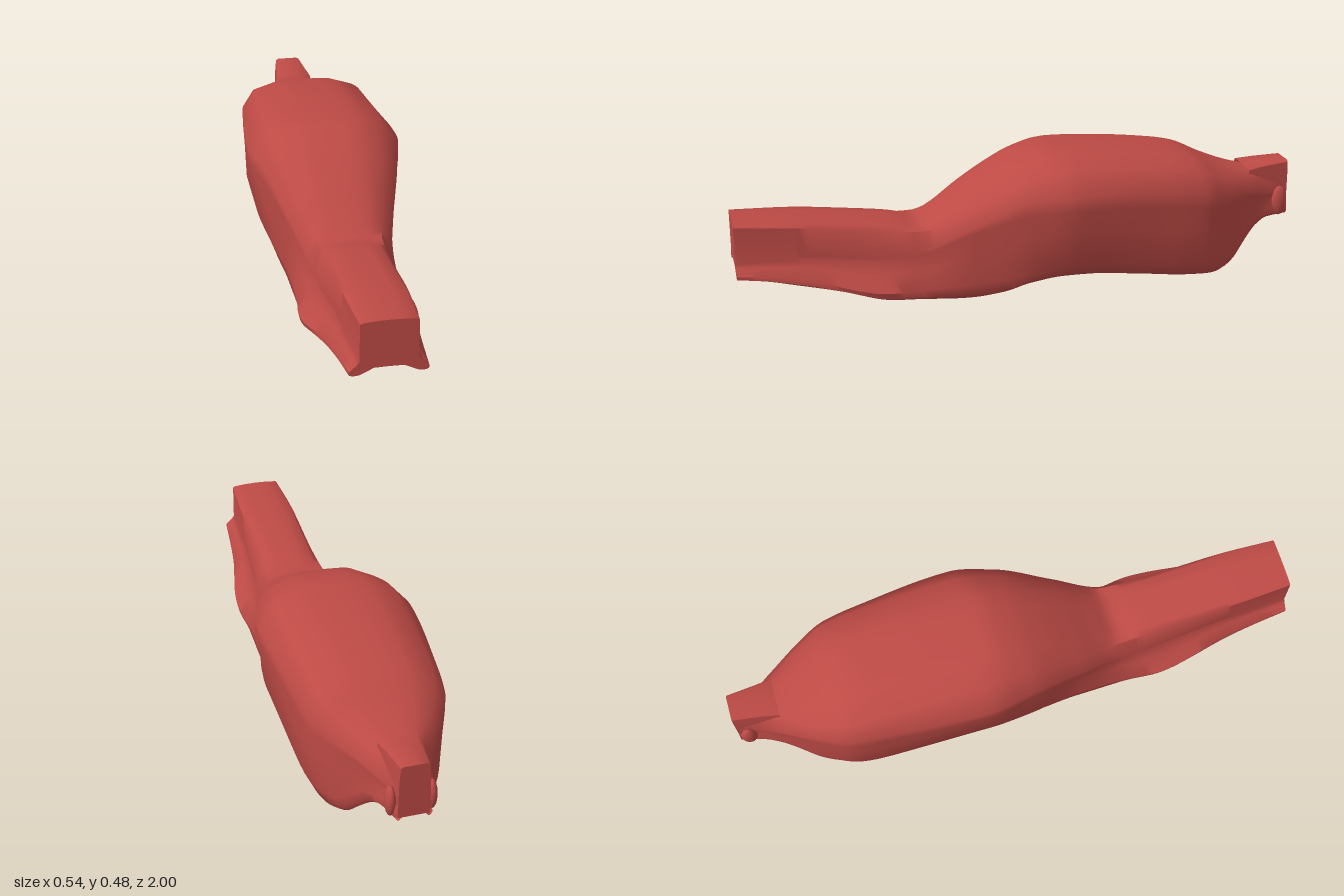
import * as THREE from 'three';
import { toCreasedNormals } from 'three/addons/utils/BufferGeometryUtils.js';

// Smooth curve through [z, value] pairs, z falling from 1 to -1
function curve(pairs) {
  const slope = (a, b) => (b[1] - a[1]) / (b[0] - a[0]);
  const m = pairs.map((p, i) => {
    if (i === 0) return slope(p, pairs[1]);
    if (i === pairs.length - 1) return slope(pairs[i - 1], p);
    const s0 = slope(pairs[i - 1], p), s1 = slope(p, pairs[i + 1]);
    return s0 * s1 <= 0 ? 0 : (2 * s0 * s1) / (s0 + s1);
  });
  return (z) => {
    let i = 0;
    while (i < pairs.length - 2 && z < pairs[i + 1][0]) i++;
    const [z0, v0] = pairs[i], [z1, v1] = pairs[i + 1];
    const h = z1 - z0, t = (z - z0) / h, t2 = t * t, t3 = t2 * t;
    return (2 * t3 - 3 * t2 + 1) * v0 + (t3 - 2 * t2 + t) * h * m[i]
      + (3 * t2 - 2 * t3) * v1 + (t3 - t2) * h * m[i + 1];
  };
}
const stations = [1, 0.8, 0.5, 0.37, 0.2, 0, -0.15, -0.5, -0.62, -0.72, -0.85, -0.92, -1];
const along = (...values) => curve(values.map((v, i) => [stations[i], v]));

// Long profiles of the cover
const topY = curve([[1, 0.317], [0.8, 0.307], [0.6, 0.285], [0.45, 0.265], [0.37, 0.25], [0.3, 0.285],
  [0.2, 0.35], [0.1, 0.41], [0, 0.457], [-0.1, 0.48], [-0.3, 0.472], [-0.5, 0.45], [-0.6, 0.43],
  [-0.7, 0.385], [-0.78, 0.355], [-0.85, 0.338], [-1, 0.32]]);
const bottomY = curve([[1, 0.132], [0.9, 0.12], [0.8, 0.1], [0.65, 0.07], [0.5, 0.03], [0.4, 0.02],
  [0.2, 0.005], [0.1, 0.016], [0, 0.045], [-0.1, 0.06], [-0.2, 0.058], [-0.4, 0.035], [-0.6, 0.007],
  [-0.68, 0], [-0.75, 0.025], [-0.82, 0.095], [-0.87, 0.14], [-0.92, 0.158], [-1, 0.16]]);
const deckX = along(0.085, 0.088, 0.085, 0.075, 0.1, 0.11, 0.115, 0.11, 0.105, 0.09, 0.06, 0.048, 0.04);
const shoulderX = along(0.09, 0.1, 0.104, 0.11, 0.148, 0.185, 0.205, 0.2, 0.19, 0.15, 0.08, 0.058, 0.046);
const shoulderY = along(0.308, 0.292, 0.25, 0.242, 0.31, 0.415, 0.447, 0.415, 0.39, 0.35, 0.315, 0.3, 0.3);
const flankX = along(0.091, 0.104, 0.128, 0.14, 0.185, 0.24, 0.27, 0.245, 0.23, 0.185, 0.11, 0.072, 0.05);
const flankY = along(0.19, 0.19, 0.165, 0.18, 0.265, 0.36, 0.372, 0.345, 0.325, 0.305, 0.27, 0.25, 0.25);
const lowX = along(0.123, 0.143, 0.195, 0.182, 0.188, 0.225, 0.242, 0.235, 0.22, 0.18, 0.11, 0.08, 0.056);
const lowY = along(0.147, 0.125, 0.06, 0.055, 0.06, 0.09, 0.11, 0.08, 0.06, 0.065, 0.17, 0.19, 0.2);
const rimX = along(0.112, 0.135, 0.175, 0.17, 0.17, 0.185, 0.19, 0.185, 0.172, 0.15, 0.095, 0.068, 0.052);
const roofX = along(0.085, 0.085, 0.085, 0.085, 0.088, 0.09, 0.09, 0.09, 0.088, 0.085, 0.078, 0.058, 0.044);
const roofY = along(0.156, 0.165, 0.18, 0.19, 0.22, 0.25, 0.26, 0.25, 0.235, 0.22, 0.2, 0.19, 0.184);

// Half section, from the tunnel roof around the lobe up to the crown
function halfSection(z) {
  const { lerp, smoothstep } = THREE.MathUtils;
  const t = topY(z), b = bottomY(z), r = rimX(z), rx = roofX(z), ry = roofY(z), d = ry - 0.02 - b;
  const fx = flankX(z), fy = flankY(z), lx = lowX(z), ly = lowY(z);
  const tank = smoothstep(-z, -0.3, 0) * (1 - smoothstep(-z, 0.65, 0.85));
  return [
    [0, ry], [rx * 0.55, ry - 0.001], [rx, b + d],
    [lerp(r, rx, 0.72), b + d * 0.26], [lerp(r, rx, 0.35), b + d * 0.05], [r, b],
    [(r + lx) / 2 + 0.005, b + (ly - b) * 0.25], [lx, ly],
    [lerp(lx, fx, 0.5) - 0.008 * (1 - tank), (ly + fy) / 2],
    [fx, fy - 0.04 * tank - 0.01], [fx, fy],
    [shoulderX(z), shoulderY(z)], [deckX(z), t - 0.005], [deckX(z) / 2, t - 0.001], [0, t],
  ];
}

// Surface through a series of sections
function loft(rows) {
  const n = rows[0].length, index = [];
  for (let i = 0; i < rows.length - 1; i++) {
    for (let j = 0; j < n - 1; j++) {
      const a = i * n + j, b = a + n;
      index.push(a, b, a + 1, a + 1, b, b + 1);
    }
  }
  const g = new THREE.BufferGeometry();
  g.setAttribute('position', new THREE.Float32BufferAttribute(rows.flat(2), 3));
  g.setIndex(index);
  return toCreasedNormals(g, 0.8);
}
const mirrored = (half, z) => [
  ...half.map(([x, y]) => [x, y, z]),
  ...half.slice(0, -1).reverse().map(([x, y]) => [-x, y, z]),
];
// Flat plate filling a section
const plate = (section) => new THREE.ShapeGeometry(
  new THREE.Shape(section.map(([x, y]) => new THREE.Vector2(x, y))));

export function createModel() {
  const group = new THREE.Group();
  const red = new THREE.MeshStandardMaterial({ color: 0xbd4a45, side: THREE.DoubleSide });
  red.name = 'red bodywork';
  const add = (name, geometry) => {
    const mesh = new THREE.Mesh(geometry, red);
    mesh.name = name;
    group.add(mesh);
    return mesh;
  };

  // Saddle and tank in one body with a tunnel underneath
  const rows = [];
  for (let i = 0; i <= 100; i++) {
    const z = 1 - i * 0.02;
    rows.push(mirrored(halfSection(z), z));
  }
  add('tankAndSaddle', loft(rows));
  add('saddleEndPlate', plate(rows[0].slice(0, -1))).position.z = 1;

  // Narrow raised neck behind the tank, closed by a plate
  const neck = [[-0.84, 0.068, 0.347], [-0.9, 0.058, 0.354], [-1, 0.046, 0.36]].map(([z, w, y]) =>
    mirrored([[w + 0.006, 0.17], [w + 0.004, y - 0.05], [w, y - 0.006], [w - 0.008, y], [0, y]], z));
  add('neck', loft(neck));
  const endPlate = add('neckEndPlate', plate(neck[2]));
  endPlate.rotation.y = Math.PI;
  endPlate.position.z = -1;

  // Small mounting bosses at both ends
  for (const [side, label] of [[1, 'left'], [-1, 'right']]) {
    const boss = add(label + 'NeckBoss', new THREE.SphereGeometry(1, 16, 12));
    boss.scale.set(0.018, 0.055, 0.028);
    boss.position.set(side * 0.066, 0.215, -0.965);
    const tab = add(label + 'SaddleTab', new THREE.CapsuleGeometry(0.009, 0.07, 4, 10));
    tab.rotation.x = Math.PI / 2;
    tab.position.set(side * 0.108, 0.15, 0.952);
  }
  return group;
}
